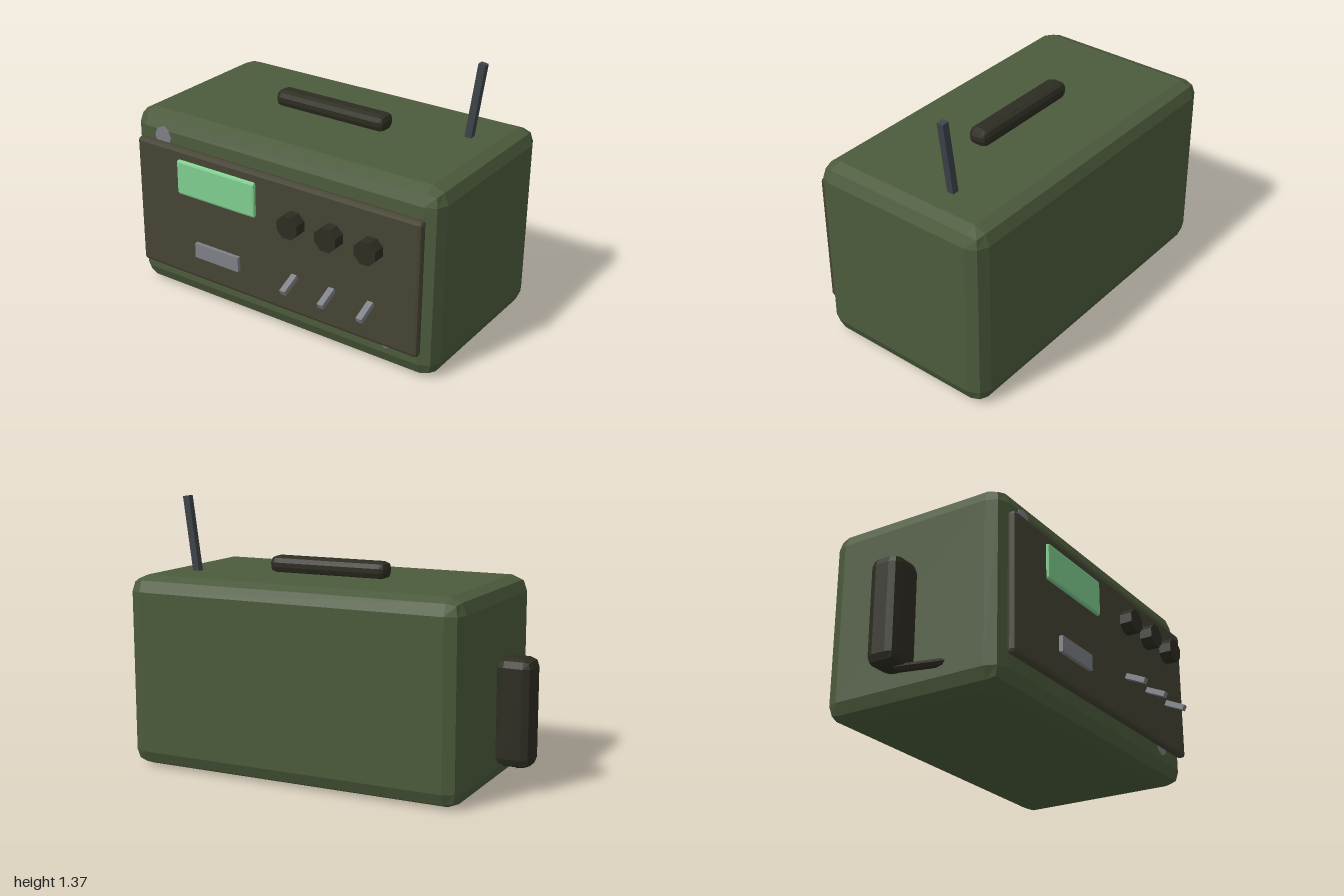
import * as THREE from 'three';
import { RoundedBoxGeometry } from 'three/addons/geometries/RoundedBoxGeometry.js';

const mat = (name, color) => {
  const m = new THREE.MeshStandardMaterial({ color, flatShading: true });
  m.name = name;
  return m;
};

export function createModel() {
  const olive = mat('olive green', 0x4c5b3c);
  const brown = mat('panel brown', 0x464434);
  const black = mat('dark rubber', 0x2e2d22);
  const grey = mat('metal grey', 0x7f8087);
  const steel = mat('antenna steel', 0x3e444a);
  const green = mat('display green', 0x80cf90);

  const radio = new THREE.Group();
  radio.name = 'fieldRadio';

  const add = (name, geometry, material, x, y, z) => {
    const mesh = new THREE.Mesh(geometry, material);
    mesh.name = name;
    mesh.position.set(x, y, z);
    radio.add(mesh);
    return mesh;
  };

  // Box with two-step bevelled edges, given by its [min, max] on each axis
  const bevelBox = (name, material, [x0, x1], [y0, y1], [z0, z1], bevel) =>
    add(name, new RoundedBoxGeometry(x1 - x0, y1 - y0, z1 - z0, 1, bevel), material,
      (x0 + x1) / 2, (y0 + y1) / 2, (z0 + z1) / 2);

  // Rod running between two points
  const rod = (name, material, a, b, radius, sides) => {
    const dir = b.clone().sub(a);
    const mid = a.clone().add(b).multiplyScalar(0.5);
    const mesh = add(name, new THREE.CylinderGeometry(radius, radius, dir.length(), sides),
      material, mid.x, mid.y, mid.z);
    mesh.quaternion.setFromUnitVectors(new THREE.Vector3(0, 1, 0), dir.normalize());
    return mesh;
  };

  // Case, front panel, display and carrying handle
  bevelBox('body', olive, [-0.8, 1], [0, 0.98], [-0.575, 0.405], 0.08);
  bevelBox('frontPanel', brown, [-0.742, 0.94], [0.14, 0.845], [0.404, 0.45], 0.018);
  bevelBox('display', green, [-0.473, 0.015], [0.603, 0.79], [0.435, 0.466], 0.012);
  bevelBox('handle', black, [-0.225, 0.425], [0.975, 1.062], [-0.14, -0.03], 0.032);

  // Label plate
  add('labelPlate', new THREE.BoxGeometry(0.275, 0.08, 0.03), grey, -0.228, 0.315, 0.455);

  // Dials with a toggle switch below each
  for (const x of [0.262, 0.48, 0.698]) {
    const knob = new THREE.CylinderGeometry(0.063, 0.063, 0.065, 8);
    knob.rotateY(Math.PI / 8).rotateX(Math.PI / 2);
    add('knob', knob, black, x, 0.657, 0.503);
    add('toggleSwitch', new THREE.BoxGeometry(0.032, 0.028, 0.11), grey, x, 0.345, 0.52)
      .rotation.x = 0.43;
  }

  // Case screws, half covered by the panel
  for (const [x, y] of [[-0.605, 0.865], [0.745, 0.16]]) {
    const screw = new THREE.CylinderGeometry(0.052, 0.052, 0.03, 8);
    screw.rotateX(Math.PI / 2);
    add('screw', screw, grey, x, y, 0.393);
  }

  // Leaning square antenna
  const antenna = add('antenna', new THREE.BoxGeometry(0.036, 0.48, 0.036), steel, 0.802, 1.125, -0.25);
  antenna.rotation.z = -0.135;

  // Handset on the right side with its cord
  bevelBox('handset', black, [-1, -0.815], [0.12, 0.652], [-0.175, -0.015], 0.045);
  rod('handsetCord', black, new THREE.Vector3(-0.91, 0.115, -0.07),
    new THREE.Vector3(-0.77, 0.155, 0.13), 0.02, 6);

  return radio;
}
